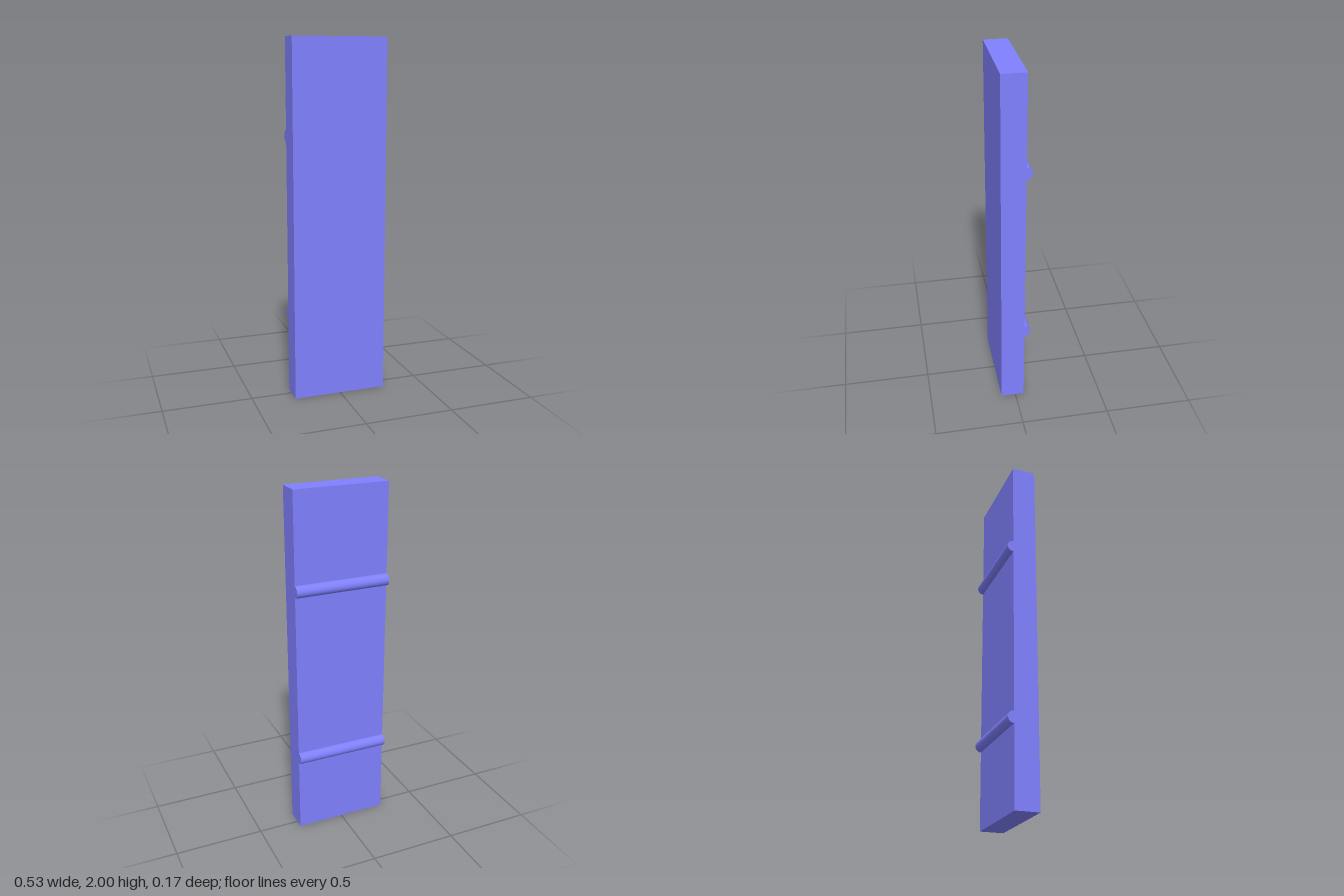
import * as THREE from 'three';

const WIDTH = 0.533, HEIGHT = 2, BACK = -0.05, FRONT = 0.083, ROD_RADIUS = 0.0335;

export function createModel() {
  const group = new THREE.Group();
  group.name = 'panelWithRods';
  const material = new THREE.MeshStandardMaterial({ color: 0x8080ff });

  // Flat upright board
  const board = new THREE.Mesh(new THREE.BoxGeometry(WIDTH, HEIGHT, FRONT - BACK), material);
  board.name = 'board';
  board.position.set(0, HEIGHT / 2, (FRONT + BACK) / 2);
  group.add(board);

  // Half-round rods running across the back of the board
  const rodGeometry = new THREE.CylinderGeometry(
    ROD_RADIUS, ROD_RADIUS, WIDTH, 32, 1, false, Math.PI / 2, Math.PI);
  rodGeometry.rotateZ(Math.PI / 2);
  for (const [name, y] of [['lowerRod', 0.47], ['upperRod', 1.47]]) {
    const rod = new THREE.Mesh(rodGeometry, material);
    rod.name = name;
    rod.position.set(0, y, BACK);
    group.add(rod);
  }

  return group;
}
